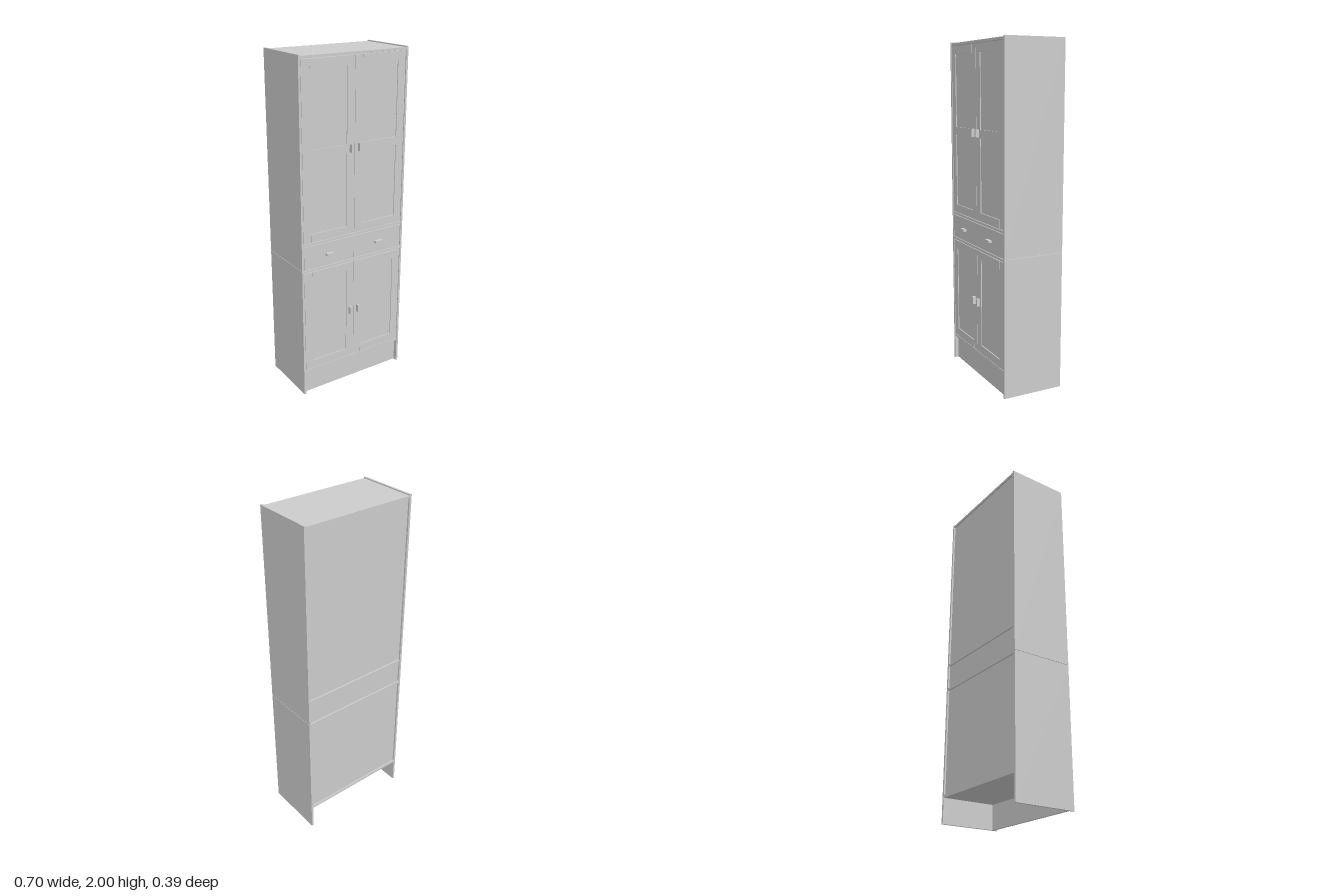
import * as THREE from 'three';

const material = new THREE.MeshStandardMaterial({ color: 0xcccccc });

// Box given by its min and max along each axis
function box(parent, name, [x0, x1], [y0, y1], [z0, z1]) {
  const mesh = new THREE.Mesh(new THREE.BoxGeometry(x1 - x0, y1 - y0, z1 - z0), material);
  mesh.name = name;
  mesh.position.set((x0 + x1) / 2, (y0 + y1) / 2, (z0 + z1) / 2);
  parent.add(mesh);
  return mesh;
}

// Range on the left (+x) side, or its mirror image on the right
const mirror = (side, a, b) => (side > 0 ? [a, b] : [-b, -a]);

const INNER = 0.338, OUTER = 0.351;
const BACK = -0.195, FRONT = 0.175, FACE = 0.173;
const SPLIT = 0.81;

// Framed door: stiles, rails and a slightly sunken panel
function addDoor(parent, side, name, y0, y1, railBottoms, handleY) {
  const door = new THREE.Group();
  door.name = name;
  const x0 = 0.001, x1 = INNER - 0.003, w = 0.05;
  box(door, 'doorPanel', mirror(side, x0 + w, x1 - w), [y0, y1], [0.158, FACE - 0.005]);
  box(door, 'innerStile', mirror(side, x0, x0 + w), [y0, y1], [0.158, FACE]);
  box(door, 'outerStile', mirror(side, x1 - w, x1), [y0, y1], [0.158, FACE]);
  for (const y of railBottoms) {
    box(door, 'doorRail', mirror(side, x0 + w, x1 - w), [y, y + w], [0.158, FACE + 0.001]);
  }
  box(door, 'doorHandle', mirror(side, 0.02, 0.034), [handleY, handleY + 0.046], [FACE, 0.193]);
  parent.add(door);
}

export function createModel() {
  const cabinet = new THREE.Group();
  cabinet.name = 'cabinet';

  // Side panels in two stacked sections
  for (const side of [1, -1]) {
    box(cabinet, 'lowerSide', mirror(side, INNER, OUTER), [0, SPLIT - 0.001], [BACK, FRONT]);
    box(cabinet, 'upperSide', mirror(side, INNER, OUTER), [SPLIT + 0.001, 2], [BACK, FRONT]);
  }

  // Horizontal boards
  const boards = [
    ['floorBoard', 0.147, 0.162],
    ['lowerTop', 0.794, 0.809],
    ['drawerTop', 0.954, 0.969],
    ['topBoard', 1.98, 1.994],
  ];
  for (const [name, y0, y1] of boards) {
    box(cabinet, name, [-INNER, INNER], [y0, y1], [BACK + 0.001, FACE]);
  }

  // Back panels set between the boards
  for (let i = 0; i < 3; i++) {
    box(cabinet, 'backPanel', [-INNER, INNER], [boards[i][2], boards[i + 1][1]], [BACK + 0.01, BACK + 0.018]);
  }

  // Recessed plinth
  box(cabinet, 'plinth', [-INNER, INNER], [0, 0.147], [0.138, 0.152]);

  // Doors and drawers, mirrored
  for (const side of [1, -1]) {
    addDoor(cabinet, side, 'lowerDoor', 0.165, 0.791, [0.165, 0.741], 0.455);
    addDoor(cabinet, side, 'upperDoor', 0.972, 1.977, [0.972, 1.45, 1.927], 1.455);
    box(cabinet, 'drawerFront', mirror(side, 0.001, INNER - 0.003), [0.812, 0.951], [0.158, FACE]);
    box(cabinet, 'drawerHandle', mirror(side, 0.145, 0.194), [0.875, 0.888], [FACE, 0.193]);
  }
  return cabinet;
}
